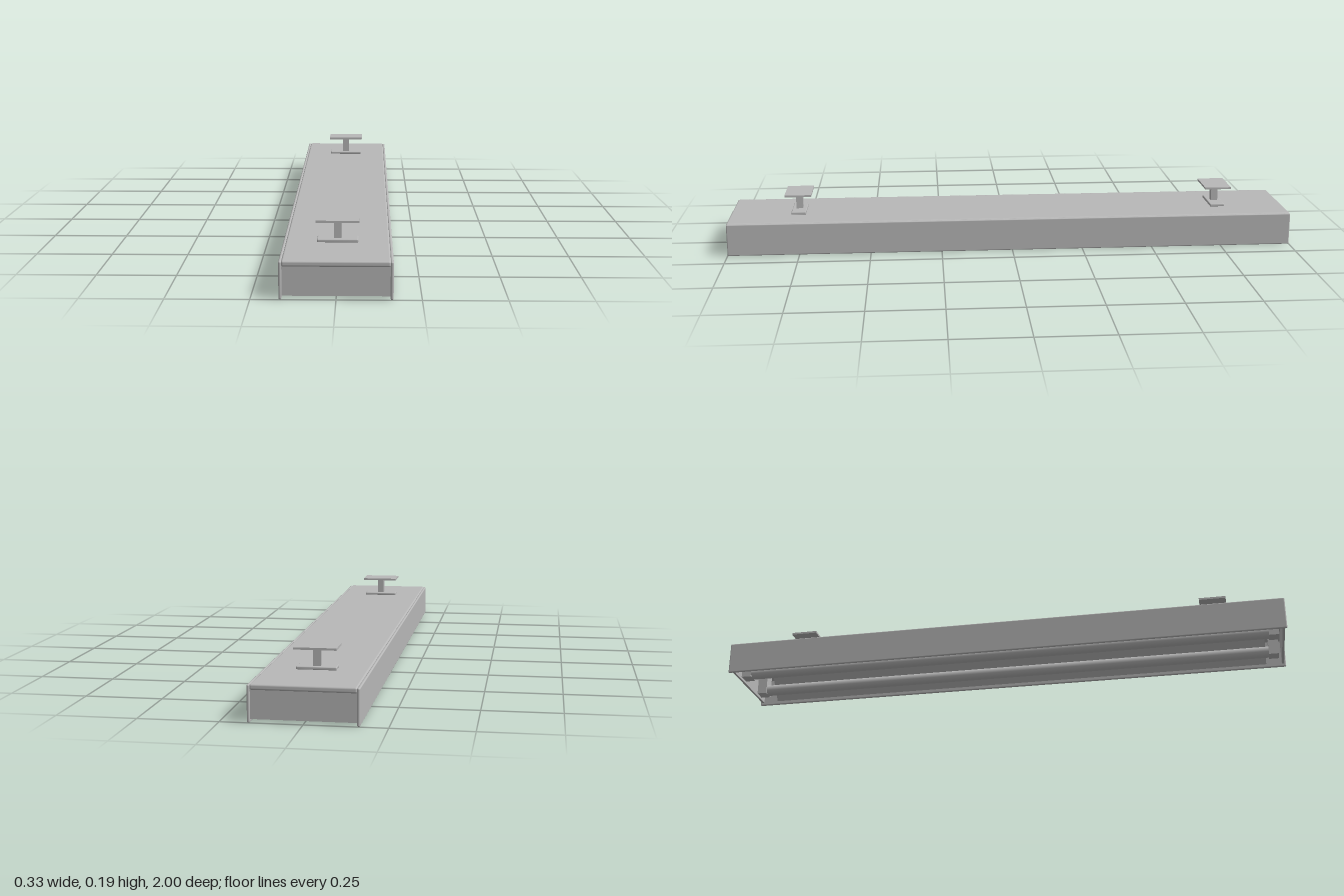
import * as THREE from 'three';
import { RoundedBoxGeometry } from 'three/addons/geometries/RoundedBoxGeometry.js';

export function createModel() {
  const model = new THREE.Group();
  model.name = 'ceilingLampFixture';
  const metal = new THREE.MeshStandardMaterial({ color: 0xb8b8b8 });
  metal.name = 'grey metal';

  const add = (name, geometry, x, y, z, parent = model) => {
    const mesh = new THREE.Mesh(geometry, metal);
    mesh.name = name;
    mesh.position.set(x, y, z);
    parent.add(mesh);
    return mesh;
  };
  const box = (w, h, d) => new THREE.BoxGeometry(w, h, d);

  // Housing: rolled-edge top, two side panels and two end plates
  add('topCover', new RoundedBoxGeometry(0.318, 0.018, 2, 3, 0.006), 0, 0.107, 0);
  for (const s of [1, -1]) {
    add('sidePanel', new RoundedBoxGeometry(0.009, 0.114, 2, 3, 0.004), s * 0.1625, 0.057, 0);
    add('endPlate', box(0.318, 0.09, 0.008), 0, 0.055, s * 0.989);
  }

  // Folded sheet reflector with a trough above each tube
  const fold = [[-0.156, 0.012], [-0.09, 0.094], [-0.07, 0.094], [0, 0.065],
    [0.07, 0.094], [0.09, 0.094], [0.156, 0.012]];
  const outline = [
    ...fold.map(([x, y]) => new THREE.Vector2(x, y)),
    ...fold.slice().reverse().map(([x, y]) => new THREE.Vector2(x, y + 0.004)),
  ];
  const sheet = new THREE.ExtrudeGeometry(new THREE.Shape(outline), { depth: 1.86, bevelEnabled: false });
  add('reflector', sheet, 0, 0, -0.93);

  // Shallow ridge cover along the middle of the reflector
  add('ridgeCover', box(0.03, 0.02, 1.5), 0, 0.068, 0);

  // Two lamp tubes held by end sockets
  for (const x of [0.08, -0.08]) {
    const tube = add('lampTube', new THREE.CylinderGeometry(0.02, 0.02, 1.88, 24), x, 0.025, 0);
    tube.rotation.x = Math.PI / 2;
    for (const s of [1, -1]) {
      add('lampSocket', box(0.044, 0.09, 0.035), x, 0.053, s * 0.957);
    }
  }

  // Mounting brackets: foot, stem and ceiling plate
  for (const z of [0.757, -0.757]) {
    const bracket = new THREE.Group();
    bracket.name = 'mountingBracket';
    bracket.position.z = z;
    model.add(bracket);
    add('bracketFoot', new RoundedBoxGeometry(0.126, 0.01, 0.052, 2, 0.003), 0, 0.121, 0, bracket);
    add('bracketStem', box(0.024, 0.064, 0.024), 0, 0.152, 0, bracket);
    add('ceilingPlate', box(0.134, 0.007, 0.094), 0, 0.1855, 0, bracket);
  }
  return model;
}
